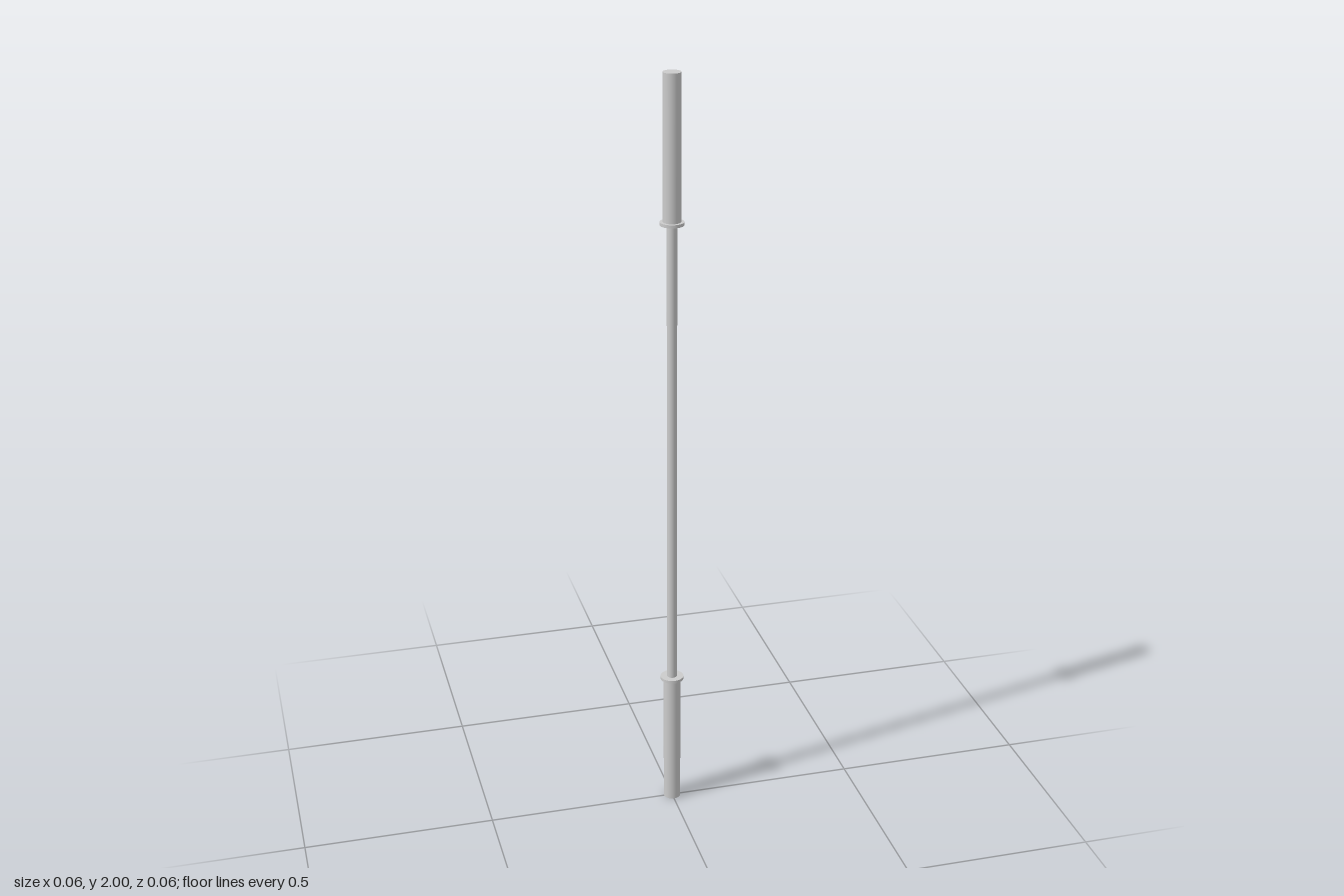
import * as THREE from 'three';

export function createModel() {
  const model = new THREE.Group();
  model.name = 'barbell';
  const material = new THREE.MeshStandardMaterial({ color: 0xcccccc });

  // Upright round part spanning y0 to y1
  const addRod = (name, radius, y0, y1) => {
    const geometry = new THREE.CylinderGeometry(radius, radius, y1 - y0, 48);
    const mesh = new THREE.Mesh(geometry, material);
    mesh.name = name;
    mesh.position.y = (y0 + y1) / 2;
    model.add(mesh);
  };

  // Thin grip bar between the collars
  addRod('shaft', 0.013, 0.36, 1.64);

  // Weight sleeve and stop collar at each end
  addRod('lowerSleeve', 0.0225, 0, 0.37);
  addRod('lowerCollar', 0.0305, 0.366, 0.374);
  addRod('upperSleeve', 0.0225, 1.63, 2);
  addRod('upperCollar', 0.0305, 1.626, 1.634);

  return model;
}
